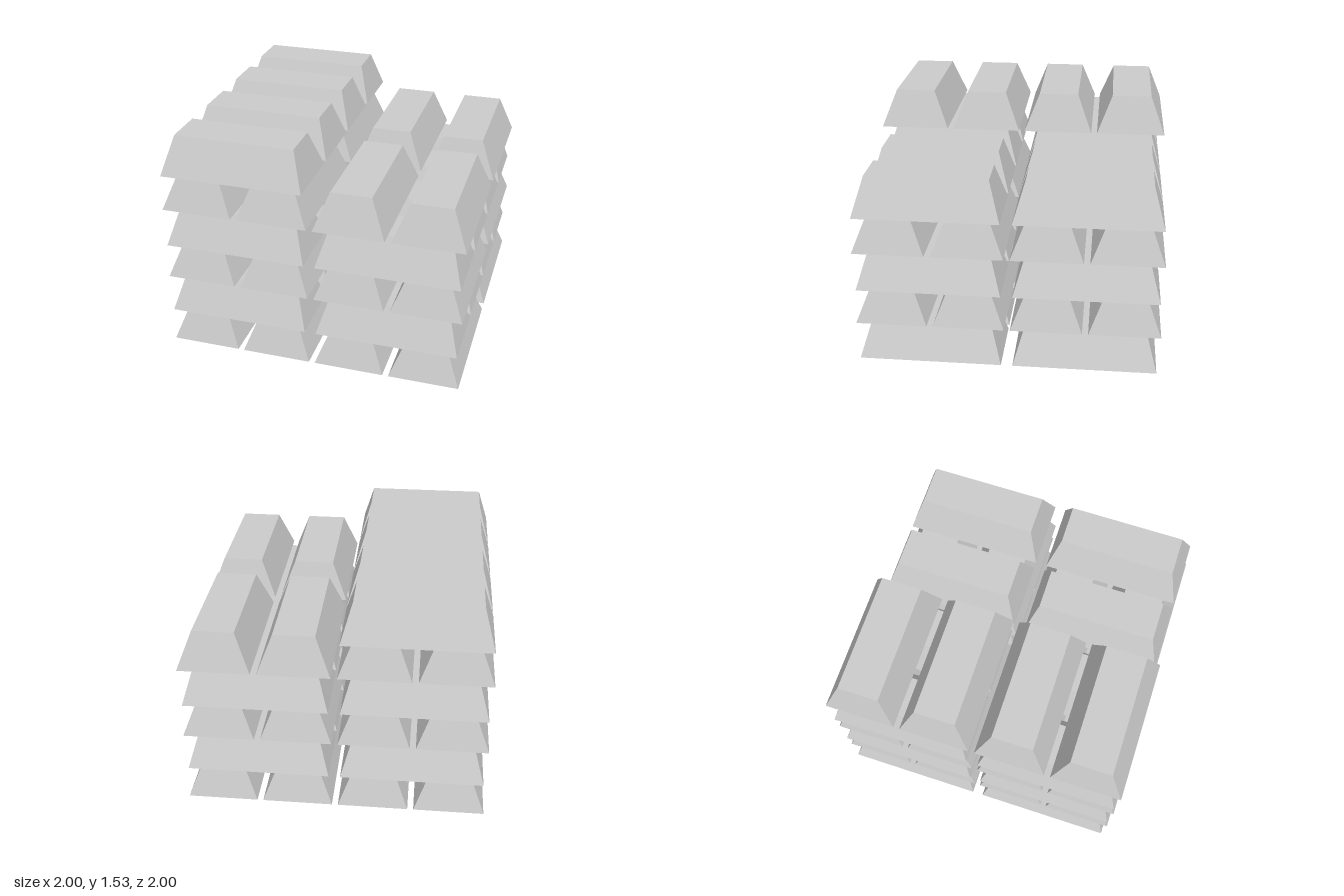
import * as THREE from 'three';

const LENGTH = 0.944, WIDTH = 0.47, HEIGHT = 0.255;
const TOP_LENGTH = 0.794, TOP_WIDTH = 0.27;

// Tapered ingot lying along z, base at y = 0
function barGeometry() {
  const geo = new THREE.BoxGeometry(WIDTH, HEIGHT, LENGTH);
  geo.translate(0, HEIGHT / 2, 0);
  const p = geo.attributes.position;
  for (let i = 0; i < p.count; i++) {
    if (p.getY(i) > HEIGHT / 2) {
      p.setX(i, Math.sign(p.getX(i)) * TOP_WIDTH / 2);
      p.setZ(i, Math.sign(p.getZ(i)) * TOP_LENGTH / 2);
    }
  }
  geo.computeVertexNormals();
  return geo;
}

export function createModel() {
  const model = new THREE.Group();
  model.name = 'ingotPile';
  const geo = barGeometry();
  const mat = new THREE.MeshStandardMaterial({ color: 0xcccccc, flatShading: true });

  // Crosswise stack: each layer is a pair of bars, turned 90 degrees every layer
  function addStack(name, x, z, layers) {
    const stack = new THREE.Group();
    stack.name = name;
    stack.position.set(x, 0, z);
    for (let layer = 0; layer < layers; layer++) {
      const crosswise = layer % 2 === 1;
      for (const side of [-1, 1]) {
        const bar = new THREE.Mesh(geo, mat);
        bar.name = `bar${layer + 1}${side < 0 ? 'A' : 'B'}`;
        const offset = side * 0.255;
        bar.position.set(crosswise ? 0 : offset, layer * HEIGHT, crosswise ? offset : 0);
        if (crosswise) bar.rotation.y = Math.PI / 2;
        stack.add(bar);
      }
    }
    model.add(stack);
  }

  // Right stacks are six layers high, left stacks five
  for (const [end, z] of [['Front', 0.51], ['Back', -0.51]]) {
    addStack(`right${end}Stack`, -0.51, z, 6);
    addStack(`left${end}Stack`, 0.51, z, 5);
  }
  return model;
}
